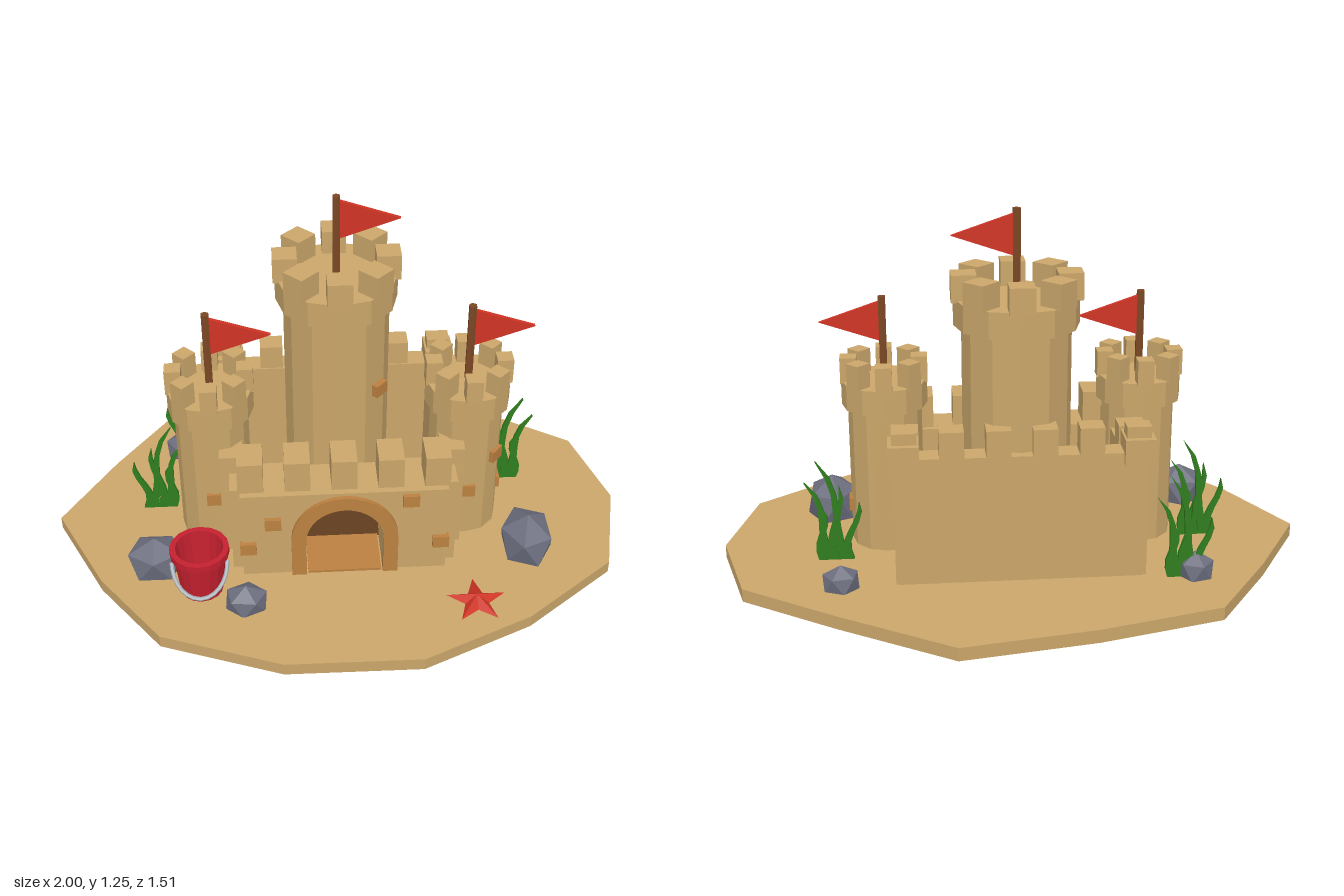
import * as THREE from 'three';

const material = (name, color, side = THREE.FrontSide) => {
  const m = new THREE.MeshStandardMaterial({ color, side });
  m.name = name;
  return m;
};

export function createModel() {
  const sand = material('sand', 0xcaa66a);
  const brick = material('clay brick', 0xbb8040);
  const door = material('dark wood', 0x6b4423);
  const wood = material('pole wood', 0x7d4824);
  const red = material('flag red', 0xd03424);
  const crimson = material('bucket crimson', 0xc4202f, THREE.DoubleSide);
  const stone = material('stone', 0x6c6e7e);
  const green = material('weed green', 0x2f7d1e);
  const steel = material('handle steel', 0xa9b1b6);

  const model = new THREE.Group();
  model.name = 'sandCastle';

  // Adds a facetted mesh
  const add = (name, geometry, mat, x = 0, y = 0, z = 0, parent = model) => {
    const g = geometry.index ? geometry.toNonIndexed() : geometry;
    g.computeVertexNormals();
    const mesh = new THREE.Mesh(g, mat);
    mesh.name = name;
    mesh.position.set(x, y, z);
    parent.add(mesh);
    return mesh;
  };
  const box = (name, mat, w, h, d, x, y, z, parent) =>
    add(name, new THREE.BoxGeometry(w, h, d), mat, x, y, z, parent);
  // Block spanning y0..y1 and z0..z1, centred on x
  const block = (name, w, x, y0, y1, z0, z1) =>
    box(name, sand, w, y1 - y0, z1 - z0, x, (y0 + y1) / 2, (z0 + z1) / 2);
  const extrude = (shape, depth, curveSegments = 8) =>
    new THREE.ExtrudeGeometry(shape, { depth, bevelEnabled: false, curveSegments });
  const polygon = (pts) => new THREE.Shape(pts.map(([x, y]) => new THREE.Vector2(x, y)));

  // Irregular ground slab
  const outline = [[-1, 0], [-0.82, -0.3], [-0.62, -0.585], [-0.21, -0.69], [0.23, -0.76],
    [0.6, -0.535], [0.91, -0.33], [1, 0], [0.915, 0.345], [0.6, 0.585], [0.23, 0.75],
    [-0.22, 0.745], [-0.62, 0.6], [-0.83, 0.33]];
  const slab = extrude(polygon(outline.map(([x, z]) => [x, -z])), 0.045);
  slab.rotateX(-Math.PI / 2);
  add('groundSlab', slab, sand, 0, 0.008, 0);

  // Round tower with collar, eight merlons and a flag
  function tower(name, x, z, r, collarR, collarY, topY, crownR, merlon) {
    const t = new THREE.Group();
    t.name = name;
    t.position.set(x, 0, z);
    model.add(t);
    add('towerBody', new THREE.CylinderGeometry(r, r, topY - 0.06, 12), sand, 0, topY / 2 + 0.02, 0, t);
    add('towerCollar', new THREE.CylinderGeometry(collarR, collarR, topY - collarY, 12), sand,
      0, (topY + collarY) / 2, 0, t);
    for (let i = 0; i < 8; i++) {
      const a = (i * Math.PI) / 4;
      box('towerMerlon', sand, merlon, 0.09, merlon,
        Math.sin(a) * crownR, topY + 0.037, Math.cos(a) * crownR, t).rotation.y = a;
    }
    add('flagPole', new THREE.CylinderGeometry(0.014, 0.014, 0.3, 6), wood, 0, topY + 0.138, 0, t);
    add('flag', extrude(polygon([[0, 0.068], [0, -0.068], [0.2, 0]]), 0.014), red,
      0.01, topY + 0.203, -0.007, t);
  }
  tower('keep', 0, -0.135, 0.18, 0.206, 0.87, 0.96, 0.172, 0.082);
  for (const s of [-1, 1]) {
    tower(s < 0 ? 'rightTower' : 'leftTower', s * 0.435, 0.035, 0.125, 0.145, 0.55, 0.637, 0.119, 0.055);
  }

  // Arched outline, optionally followed as a hole
  const arch = (path, r, springY) => {
    path.lineTo(r, springY);
    path.absarc(0, springY, r, 0, Math.PI, false);
    path.lineTo(-r, 0.05);
  };

  // Wall pierced by the gate passage
  const gateWall = (halfWidth) => {
    const s = new THREE.Shape();
    s.moveTo(-0.13, 0.05);
    s.lineTo(-halfWidth, 0.05);
    s.lineTo(-halfWidth, 0.395);
    s.lineTo(halfWidth, 0.395);
    s.lineTo(halfWidth, 0.05);
    s.lineTo(0.13, 0.05);
    arch(s, 0.13, 0.205);
    return s;
  };
  add('gateWall', extrude(gateWall(0.38), 0.12), sand, 0, 0, 0.17);
  add('gateFront', extrude(gateWall(0.345), 0.037), sand, 0, 0, 0.29);
  for (let i = -2; i <= 2; i++) block('gateMerlon', 0.085, i * 0.155, 0.385, 0.51, 0.19, 0.305);

  // Arch trim, threshold and door
  const trim = new THREE.Shape();
  trim.moveTo(0.18, 0.05);
  arch(trim, 0.18, 0.205);
  trim.lineTo(-0.13, 0.05);
  trim.lineTo(-0.13, 0.205);
  trim.absarc(0, 0.205, 0.13, Math.PI, 0, true);
  trim.lineTo(0.13, 0.05);
  add('archTrim', extrude(trim, 0.03), brick, 0, 0, 0.312);
  box('threshold', brick, 0.25, 0.012, 0.21, 0, 0.056, 0.23);
  const leaf = new THREE.Shape();
  leaf.moveTo(0.13, 0.05);
  arch(leaf, 0.13, 0.205);
  add('gateDoor', extrude(leaf, 0.012), door, 0, 0, 0.148);

  // Back and side walls with merlons
  block('backWall', 0.8, 0, 0.05, 0.49, -0.345, -0.265);
  for (let i = 0; i < 6; i++) {
    const corner = i === 0 || i === 5;
    if (!corner) block('backMerlon', 0.08, -0.375 + i * 0.15, 0.48, 0.578, -0.345, -0.27);
  }
  for (const s of [-1, 1]) {
    block('sideWall', 0.08, s * 0.372, 0.05, 0.46, -0.34, 0.2);
    block('sideMerlon', 0.09, s * 0.372, 0.45, 0.54, -0.235, -0.155);
    block('cornerMerlon', 0.1, s * 0.378, 0.455, 0.54, -0.365, -0.26);
    block('cornerCap', 0.08, s * 0.375, 0.53, 0.578, -0.345, -0.285);
  }

  // Scattered bricks: x, y, z, turn
  const bricks = [[-0.24, 0.28, 0.33, 0], [0.22, 0.36, 0.33, 0], [0.325, 0.175, 0.33, 0],
    [-0.325, 0.175, 0.33, 0], [0.435, 0.245, 0.155, 0], [-0.435, 0.25, 0.155, 0],
    [0.53, 0.37, 0.115, 0.86], [0.555, 0.19, 0.03, Math.PI / 2], [0.14, 0.57, -0.015, 0.82]];
  for (const [x, y, z, turn] of bricks) box('brick', brick, 0.055, 0.045, 0.025, x, y, z).rotation.y = turn;

  // Bucket with a drooping handle
  const bucket = new THREE.Group();
  bucket.name = 'bucket';
  bucket.position.set(-0.486, 0, 0.38);
  model.add(bucket);
  const profile = [[0, 0.055], [0.072, 0.055], [0.089, 0.205], [0.099, 0.21], [0.099, 0.235],
    [0.08, 0.235], [0.064, 0.07], [0, 0.07]].map(([x, y]) => new THREE.Vector2(x, y));
  const pail = new THREE.Mesh(new THREE.LatheGeometry(profile, 16), crimson);
  pail.geometry = pail.geometry.toNonIndexed();
  pail.geometry.computeVertexNormals();
  pail.name = 'pail';
  bucket.add(pail);
  const droop = [];
  for (let i = 0; i <= 10; i++) {
    const a = (i * Math.PI) / 10;
    droop.push(new THREE.Vector3(-0.092 * Math.cos(a), 0.2 - 0.1 * Math.sin(a), 0.03 + 0.075 * Math.sin(a)));
  }
  add('handle', new THREE.TubeGeometry(new THREE.CatmullRomCurve3(droop), 14, 0.007, 6), steel, 0, 0, 0, bucket);

  // Rocks: x, y, z, radii, turn
  const rocks = [[-0.645, 0.095, 0.275, 0.105, 0.09, 0.09, 0.3], [0.638, 0.1, 0.25, 0.1, 0.1, 0.125, 0],
    [-0.337, 0.075, 0.475, 0.078, 0.065, 0.065, 0.8], [-0.575, 0.075, -0.355, 0.065, 0.065, 0.065, 1.2],
    [0.59, 0.075, -0.347, 0.067, 0.058, 0.058, 0.5]];
  for (const [x, y, z, rx, ry, rz, turn] of rocks) {
    const g = new THREE.IcosahedronGeometry(1, 0);
    g.rotateZ(0.5536);
    g.rotateY(turn);
    g.scale(rx, ry, rz);
    add('rock', g, stone, x, y, z);
  }

  // Starfish: low five-armed pyramid
  const star = [];
  const rim = (i) => {
    const a = (i * Math.PI) / 5;
    const r = i % 2 ? 0.042 : 0.103;
    return [-Math.sin(a) * r, 0, -Math.cos(a) * r];
  };
  for (let i = 0; i < 10; i++) star.push(0, 0.032, 0, ...rim(i), ...rim(i + 1));
  const starGeometry = new THREE.BufferGeometry();
  starGeometry.setAttribute('position', new THREE.Float32BufferAttribute(star, 3));
  add('starfish', starGeometry, red, 0.43, 0.056, 0.505);

  // Seaweed: flat tapering blades that curve towards a tip
  function weed(x, z) {
    const plant = new THREE.Group();
    plant.name = 'seaweed';
    plant.position.set(x, 0.05, z);
    model.add(plant);
    for (const [base, tip, height] of [[-0.03, 0.055, 0.36], [0.02, 0.095, 0.285], [-0.05, -0.085, 0.21],
      [0, -0.02, 0.27], [0.04, 0.04, 0.19]]) {
      const left = [], right = [];
      for (let i = 0; i < 6; i++) {
        const t = i / 6;
        const cx = base + (tip - base) * t * t + 0.012 * Math.sin(t * 6);
        const w = 0.015 * (1 - 0.6 * t);
        left.push([cx - w, height * t]);
        right.unshift([cx + w, height * t]);
      }
      add('weedBlade', extrude(polygon([...left, [tip, height], ...right]), 0.014), green, 0, 0, -0.007, plant);
    }
  }
  weed(-0.64, -0.045);
  weed(-0.535, -0.36);
  weed(0.615, -0.135);

  return model;
}
